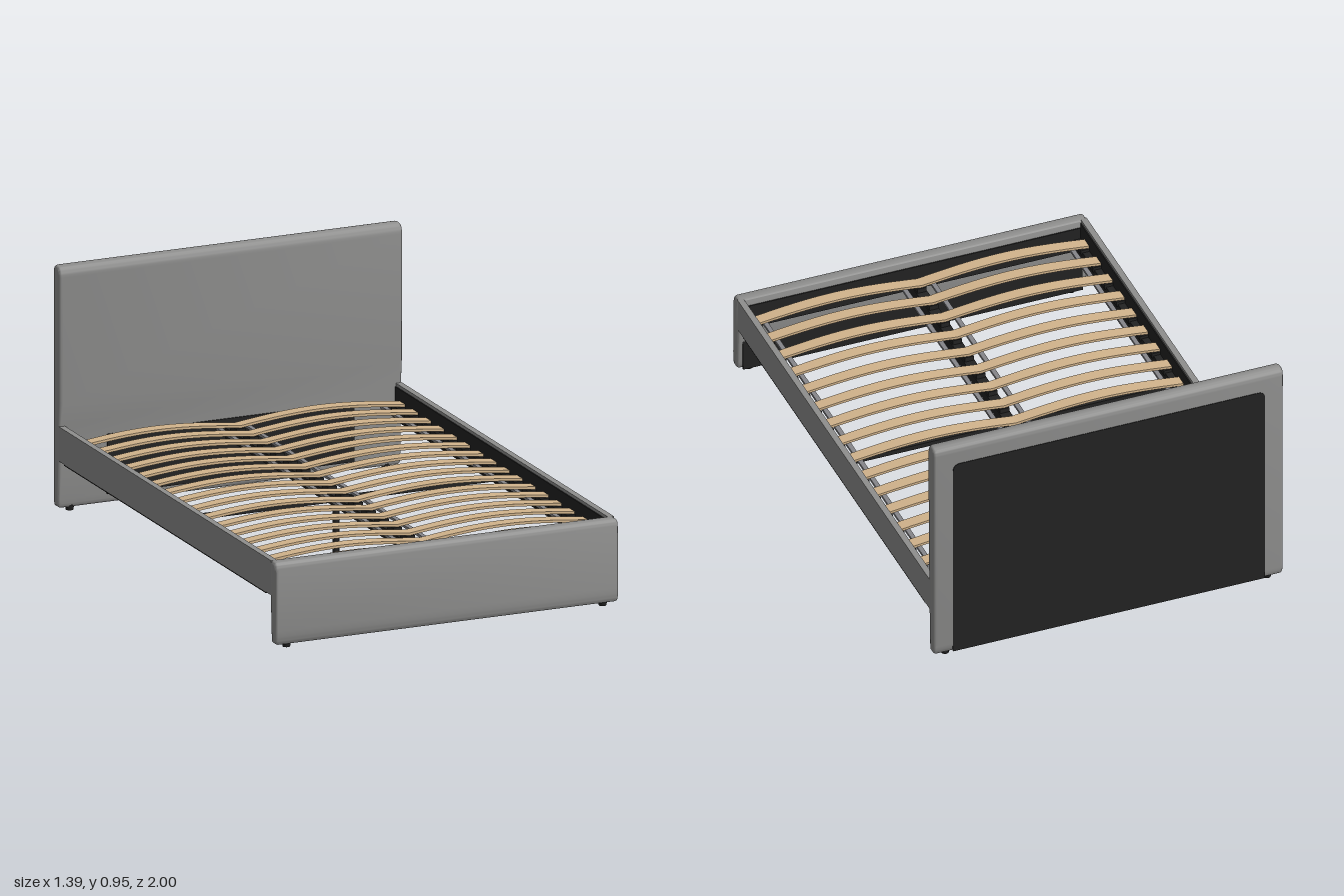
import * as THREE from 'three';
import { toCreasedNormals } from 'three/addons/utils/BufferGeometryUtils.js';

const mat = (name, color) => {
  const m = new THREE.MeshStandardMaterial({ color });
  m.name = name;
  return m;
};

export function createModel() {
  const fabric = mat('greyFabric', 0x8e8e8d);
  const black = mat('blackLining', 0x222222);
  const wood = mat('slatWood', 0xd2b48c);
  const steel = mat('greySteel', 0x86868a);

  const bed = new THREE.Group();
  bed.name = 'bed';

  const add = (name, geometry, material, x = 0, y = 0, z = 0, parent = bed) => {
    const m = new THREE.Mesh(geometry, material);
    m.name = name;
    m.position.set(x, y, z);
    parent.add(m);
    return m;
  };
  const box = (name, w, h, d, material, x, y, z, parent) =>
    add(name, new THREE.BoxGeometry(w, h, d), material, x, y, z, parent);

  // Padded panel: a side profile swept across the width, with soft ends
  const paddedPanel = (name, shape) => {
    const soft = 0.014;
    const geo = new THREE.ExtrudeGeometry(shape, {
      depth: 1.39 - 2 * soft, bevelEnabled: true, bevelThickness: soft,
      bevelSize: soft, bevelOffset: -soft, bevelSegments: 4, curveSegments: 8,
    });
    geo.translate(0, 0, -0.695 + soft);
    geo.rotateY(Math.PI / 2); // profile x becomes -z
    return add(name, toCreasedNormals(geo, 0.7), fabric);
  };

  // Headboard: thick cushion above, slimmer below the rails
  const head = new THREE.Shape();
  head.moveTo(0.955, 0.015);
  head.lineTo(0.985, 0.015);
  head.quadraticCurveTo(0.996, 0.02, 0.997, 0.06);
  head.lineTo(0.998, 0.915);
  head.quadraticCurveTo(0.998, 0.946, 0.968, 0.946);
  head.quadraticCurveTo(0.933, 0.946, 0.933, 0.905);
  head.lineTo(0.934, 0.42);
  head.lineTo(0.942, 0.33);
  head.lineTo(0.943, 0.19);
  head.lineTo(0.948, 0.05);
  head.quadraticCurveTo(0.949, 0.02, 0.955, 0.015);
  paddedPanel('headboard', head);

  // Footboard
  const foot = new THREE.Shape();
  foot.moveTo(-0.985, 0.015);
  foot.lineTo(-0.957, 0.015);
  foot.quadraticCurveTo(-0.95, 0.02, -0.947, 0.06);
  foot.lineTo(-0.94, 0.2);
  foot.lineTo(-0.94, 0.325);
  foot.quadraticCurveTo(-0.942, 0.33, -0.95, 0.331);
  foot.lineTo(-0.975, 0.331);
  foot.quadraticCurveTo(-0.992, 0.33, -0.994, 0.3);
  foot.lineTo(-0.998, 0.07);
  foot.quadraticCurveTo(-0.997, 0.02, -0.985, 0.015);
  paddedPanel('footboard', foot);

  // Black back cover of the headboard, rounded at the top corners
  const cover = new THREE.Shape();
  const r = 0.03, w = 0.62, top = 0.865;
  cover.moveTo(-w, 0.018);
  cover.lineTo(w, 0.018);
  cover.lineTo(w, top - r);
  cover.quadraticCurveTo(w, top, w - r, top);
  cover.lineTo(-w + r, top);
  cover.quadraticCurveTo(-w, top, -w, top - r);
  const coverGeo = new THREE.ExtrudeGeometry(cover, { depth: 0.006, bevelEnabled: false });
  add('headboardBackCover', coverGeo, black, 0, 0, -1);

  // Black linings inside the two ends
  box('headboardInnerLining', 1.0, 0.23, 0.006, black, 0, 0.165, -0.941);
  box('footboardInnerLining', 1.35, 0.1, 0.006, black, 0, 0.25, 0.939);
  const lower = box('footboardLowerLining', 1.35, 0.185, 0.006, black, 0, 0.109, 0.9445);
  lower.rotation.x = 0.05;

  for (const s of [-1, 1]) {
    // Side rails with lining, ledge and slat support strip
    const rail = new THREE.Group();
    rail.name = s > 0 ? 'leftRail' : 'rightRail';
    bed.add(rail);
    box('railPanel', 0.024, 0.133, 1.9, fabric, s * 0.682, 0.2645, 0, rail);
    box('railLining', 0.005, 0.122, 1.88, black, s * 0.668, 0.258, 0, rail);
    box('railUnderside', 0.03, 0.006, 1.8, black, s * 0.677, 0.195, 0, rail);
    box('railLedge', 0.03, 0.035, 1.88, black, s * 0.653, 0.235, 0, rail);
    box('outerStrip', 0.018, 0.01, 1.86, steel, s * 0.611, 0.25, 0, rail);
    box('innerStrip', 0.018, 0.01, 1.86, steel, s * 0.056, 0.25, 0, rail);

    // Small feet under the corners
    for (const z of [-0.968, 0.968])
      add('foot', new THREE.CylinderGeometry(0.018, 0.014, 0.022, 16), black, s * 0.64, 0.011, z);
  }

  // Centre beam, cross bar and support leg
  box('centreBeam', 0.042, 0.04, 1.88, black, 0, 0.225, 0);
  box('crossBar', 1.32, 0.018, 0.02, black, 0, 0.222, -0.008);
  add('supportLeg', new THREE.CylinderGeometry(0.012, 0.012, 0.21, 16), black, 0, 0.105, 0);
  add('supportLegTip', new THREE.CylinderGeometry(0.014, 0.014, 0.012, 16), black, 0, 0.006, 0);

  // Slats: two shallow arches that meet over the centre beam
  const slatGeo = new THREE.BoxGeometry(1.33, 0.01, 0.05, 40, 1, 1);
  const p = slatGeo.attributes.position;
  for (let i = 0; i < p.count; i++) {
    const arch = Math.abs(Math.sin((Math.PI * p.getX(i)) / 0.665));
    p.setY(i, p.getY(i) + 0.026 * arch);
    p.setZ(i, p.getZ(i) * (0.93 + 0.07 * arch));
  }
  slatGeo.computeVertexNormals();

  const holderGeo = new THREE.BoxGeometry(0.036, 0.02, 0.052);
  const slats = new THREE.Group();
  slats.name = 'slats';
  bed.add(slats);
  for (let i = 0; i < 16; i++) {
    const z = -0.875 + (i * 1.75) / 15;
    add('slat', slatGeo, wood, 0, 0.27, z, slats);
    for (const x of [-0.65, 0, 0.65]) add('slatHolder', holderGeo, black, x, 0.254, z, slats);
  }

  return bed;
}
